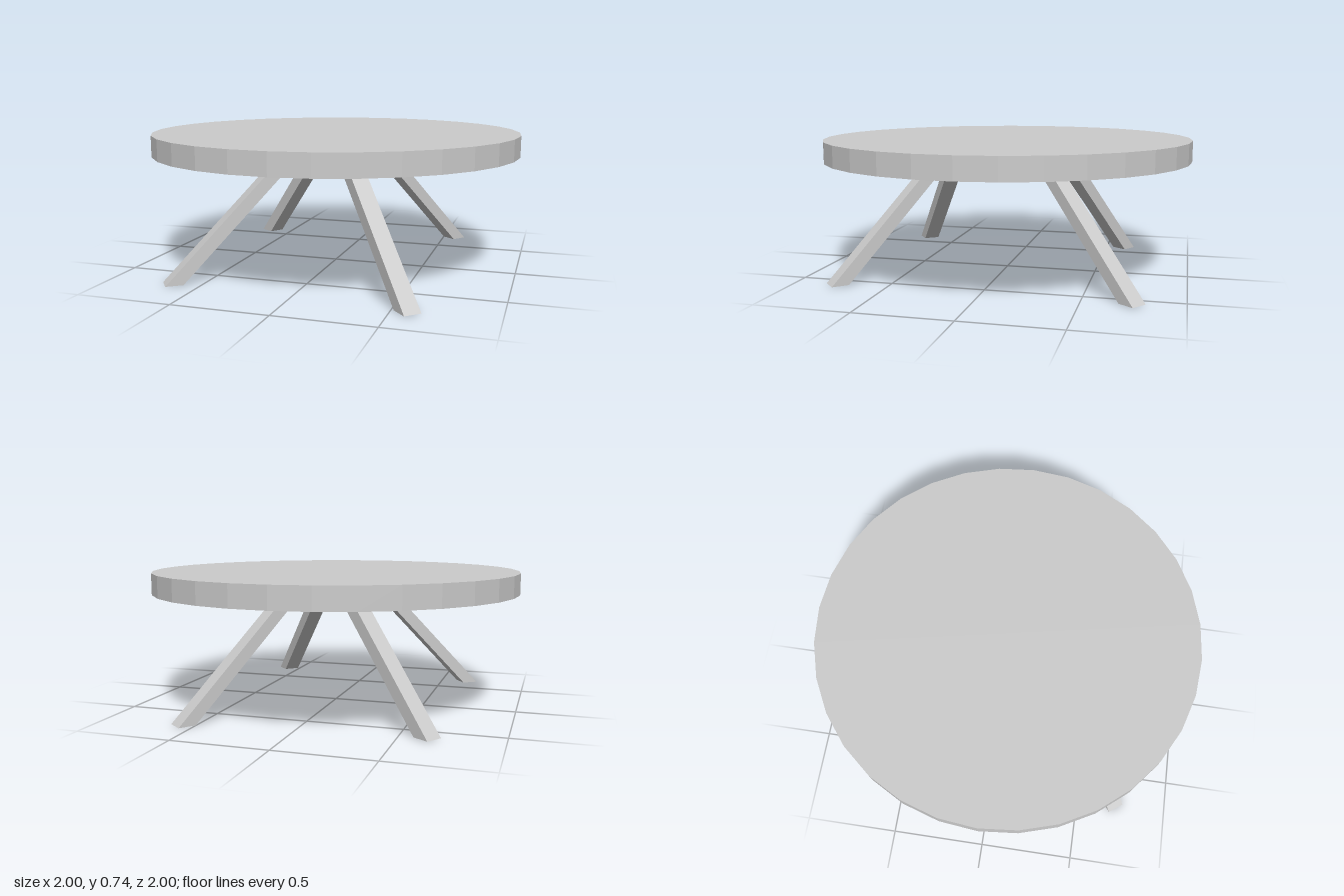
import * as THREE from 'three';

const TOP_Y = 0.735, UNDER_Y = 0.622, LEG = 0.091;

// Square leg leaning from its foot to its head, both ends cut level
function makeLeg(name, [fx, fz], [hx, hz], material) {
  const g = new THREE.BoxGeometry(LEG, UNDER_Y, LEG);
  g.rotateY(Math.atan2(fx - hx, fz - hz));
  g.translate(0, UNDER_Y / 2, 0);
  const p = g.attributes.position;
  for (let i = 0; i < p.count; i++) {
    const t = p.getY(i) / UNDER_Y;
    p.setX(i, p.getX(i) + THREE.MathUtils.lerp(fx, hx, t));
    p.setZ(i, p.getZ(i) + THREE.MathUtils.lerp(fz, hz, t));
  }
  g.computeVertexNormals();
  const mesh = new THREE.Mesh(g, material);
  mesh.name = name;
  return mesh;
}

export function createModel() {
  const group = new THREE.Group();
  group.name = 'roundTable';
  const material = new THREE.MeshStandardMaterial({ color: 0xcccccc, flatShading: true });

  // Round top
  const top = new THREE.Mesh(new THREE.CylinderGeometry(1, 1, TOP_Y - UNDER_Y, 32), material);
  top.position.y = (TOP_Y + UNDER_Y) / 2;
  top.name = 'tableTop';
  group.add(top);

  // Splayed legs, each at its own slightly irregular angle: foot (x, z), head (x, z)
  const legs = [
    ['frontLeftLeg', [0.578, 0.77], [0.175, 0.338]],
    ['frontRightLeg', [-0.65, 0.7], [-0.16, 0.34]],
    ['backLeftLeg', [0.565, -0.745], [0.18, -0.25]],
    ['backRightLeg', [-0.635, -0.605], [-0.17, -0.288]],
  ];
  for (const [name, foot, head] of legs) group.add(makeLeg(name, foot, head, material));

  return group;
}
